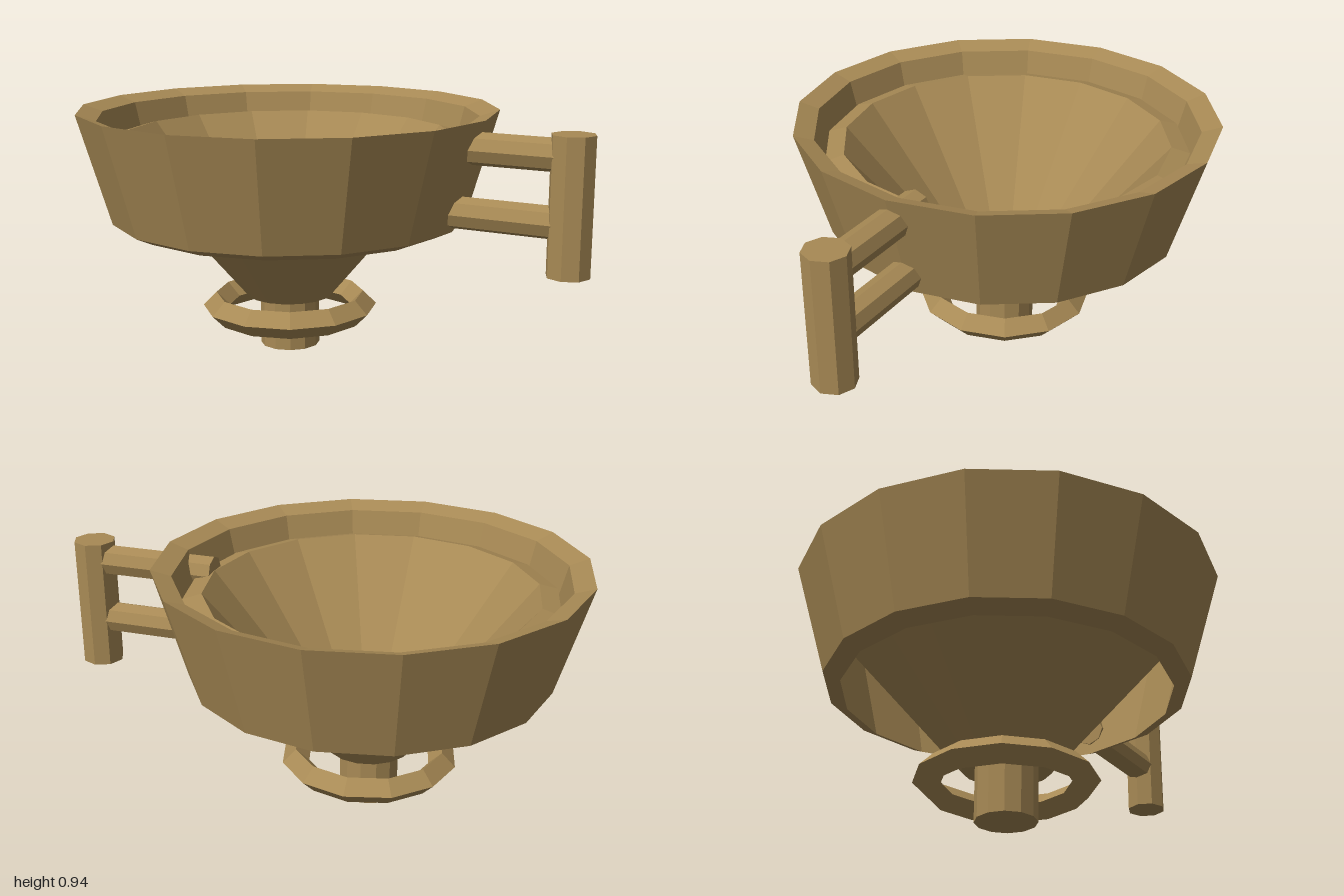
import * as THREE from 'three';

const CUP_X = -0.2; // axis of the bowl
const material = new THREE.MeshStandardMaterial({ color: 0xa88a55, flatShading: true });

function addMesh(parent, name, geometry, x = 0, y = 0) {
  const mesh = new THREE.Mesh(geometry, material);
  mesh.name = name;
  mesh.position.set(x, y, 0);
  parent.add(mesh);
  return mesh;
}

// Closed ring-shaped solid: profile runs up the outside and down the inside
function ringSolid(profile, sides) {
  const points = [...profile, profile[0]].map(([r, y]) => new THREE.Vector2(r, y));
  return new THREE.LatheGeometry(points, sides);
}

export function createModel() {
  const model = new THREE.Group();
  model.name = 'handledFunnelCup';

  // Thick flared wall, its inner side slightly lower than the outer
  addMesh(model, 'outerWall',
    ringSolid([[0.68, 0.52], [0.8, 0.935], [0.725, 0.91], [0.615, 0.49]], 16), CUP_X);

  // Thick conical funnel inside the wall
  addMesh(model, 'funnel',
    ringSolid([[0.165, 0.2], [0.69, 0.82], [0.62, 0.84], [0.107, 0.22]], 16), CUP_X);

  // Stem closing the bottom of the funnel
  addMesh(model, 'stem', new THREE.CylinderGeometry(0.115, 0.115, 0.225, 12), CUP_X, 0.1125);

  // Loose ring around the stem with a diamond section
  addMesh(model, 'stemRing',
    ringSolid([[0.288, 0.103], [0.34, 0.155], [0.288, 0.207], [0.236, 0.155]], 12), CUP_X);

  // Handle: upright grip on two bars that reach through the wall
  const handle = new THREE.Group();
  handle.name = 'handle';
  model.add(handle);
  addMesh(handle, 'grip', new THREE.CylinderGeometry(0.08, 0.08, 0.5, 8), 0.92, 0.66);
  for (const [name, y] of [['upperBar', 0.834], ['lowerBar', 0.596]]) {
    const bar = addMesh(handle, name, new THREE.CylinderGeometry(0.06, 0.06, 0.5, 8), 0.67, y);
    bar.rotation.z = Math.PI / 2;
  }

  return model;
}
